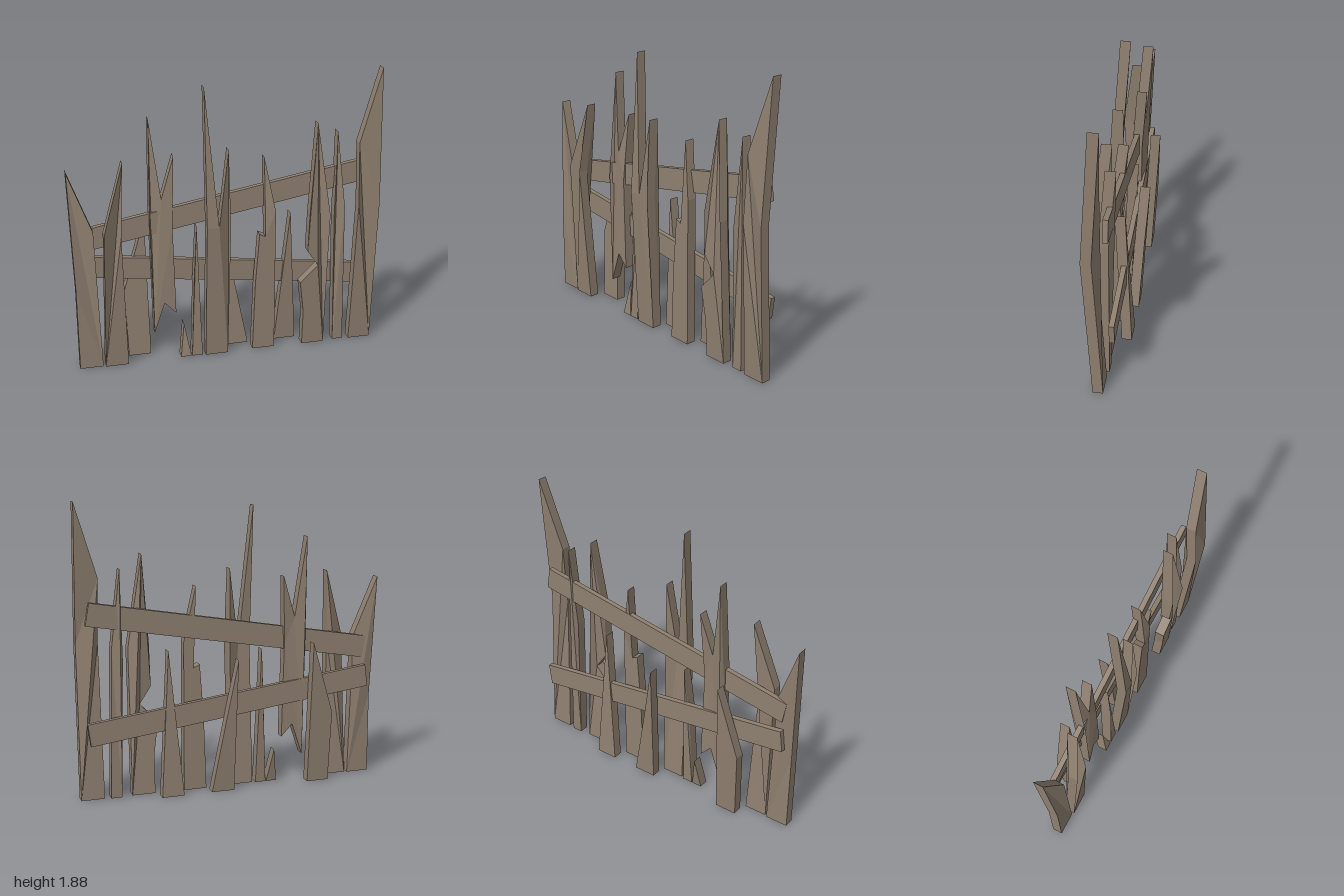
import * as THREE from 'three';

const THICK = 0.065;

// Back-face z of a board at its foot, knee and tip
const BOWED = [0.015, 0.07, 0.01];
const TILTED = [0.005, 0.005, -0.036];
const HUNG = [-0.035, -0.035, -0.087];
const REAR_BACK = [-0.09, -0.114, -0.138];
const REAR_FORWARD = [-0.09, -0.065, -0.04];

const wood = new THREE.MeshStandardMaterial({ color: 0x8f8070, flatShading: true });

// A board runs from its foot up the right knee, over the tips and down the left side.
// Its slab is bent at knee height, following the lean.
function board(name, lean, { foot, right, tips, left = [] }) {
  const outline = [...foot, ...right, ...tips, ...left].map(([x, y]) => new THREE.Vector2(x, y));
  const top = Math.max(...outline.map((v) => v.y));
  const knee = right.length ? right[0][1] : top / 2;
  const geo = new THREE.ExtrudeGeometry(new THREE.Shape(outline), { depth: THICK, bevelEnabled: false });
  const p = geo.attributes.position;
  for (let i = 0; i < p.count; i++) {
    const y = p.getY(i);
    const z = y < knee
      ? THREE.MathUtils.lerp(lean[0], lean[1], y / knee)
      : THREE.MathUtils.lerp(lean[1], lean[2], (y - knee) / (top - knee));
    p.setZ(i, p.getZ(i) + z);
  }
  geo.computeVertexNormals();
  const mesh = new THREE.Mesh(geo, wood);
  mesh.name = name;
  return mesh;
}

// A straight foot standing on the ground
const stand = (x, width = 0.15) => [[x, 0], [x + width, 0]];

// A plain spike: foot and one tip, with an optional knee on the left
const spike = (name, lean, x, width, tip, left) =>
  board(name, lean, { foot: stand(x, width), right: [], tips: [tip], left });

// A sloping cross rail that passes through height y at x = 0
function rail(name, x0, x1, y, slope, z) {
  const angle = Math.atan(slope);
  const mesh = new THREE.Mesh(new THREE.BoxGeometry((x1 - x0) / Math.cos(angle), 0.145, 0.034), wood);
  const mid = (x0 + x1) / 2;
  mesh.position.set(mid, y + slope * mid, z);
  mesh.rotation.z = angle;
  mesh.name = name;
  return mesh;
}

export function createModel() {
  const group = new THREE.Group();
  group.name = 'brokenFence';

  // Cross rails
  group.add(rail('upperRail', -0.92, 0.93, 1.034, 0.176, -0.003));
  group.add(rail('lowerRail', -0.93, 0.94, 0.562, -0.129, -0.034));

  // Narrow pointed pieces
  group.add(spike('stump', TILTED, -0.315, 0.07, [-0.285, 0.225]));
  group.add(spike('splinter', TILTED, -0.24, 0.07, [-0.195, 0.91], [[-0.22, 0.55]]));
  group.add(spike('pointedBoard', REAR_FORWARD, 0.345, 0.145, [0.427, 0.94]));

  // Boards behind the rails
  group.add(spike('rearBoardRight', REAR_BACK, -0.647, 0.147, [-0.515, 0.945], [[-0.66, 0.47]]));
  group.add(board('rearBoardMiddle', REAR_BACK, {
    foot: stand(0.01), right: [[0.065, 0.5]], tips: [[-0.005, 0.87]],
  }));

  // End boards
  group.add(board('endBoardRight', TILTED, {
    foot: stand(-0.98), right: [[-0.855, 0.95]], tips: [[-1, 1.34]], left: [[-0.98, 0.55]],
  }));
  group.add(board('endBoardLeft', BOWED, {
    foot: stand(0.84), right: [[0.99, 1]], tips: [[0.99, 1.88]], left: [[0.845, 1.41], [0.85, 1]],
  }));

  // Bowed boards in front of the rails
  group.add(board('slantedBoard', BOWED, {
    foot: stand(-0.815), right: [[-0.69, 0.93]], tips: [[-0.66, 1.39]], left: [[-0.795, 0.95]],
  }));
  group.add(board('forkedBoard', BOWED, {
    foot: stand(-0.15), right: [[0.005, 0.93]],
    tips: [[-0.003, 1.43], [-0.07, 0.93], [-0.15, 1.83]], left: [[-0.148, 0.93]],
  }));
  group.add(board('brokenBoard', BOWED, {
    foot: stand(0.51), right: [[0.66, 0.95]], tips: [[0.578, 1.55]],
    left: [[0.525, 0.98], [0.52, 0.7], [0.595, 0.59], [0.48, 0.47], [0.51, 0.25]],
  }));

  // Boards leaning back onto the rails
  group.add(board('notchedBoard', TILTED, {
    foot: stand(0.17), right: [[0.315, 0.98]], tips: [[0.245, 1.34]],
    left: [[0.25, 0.81], [0.21, 0.83], [0.185, 0.48]],
  }));
  group.add(board('narrowBoard', TILTED, {
    foot: stand(0.73, 0.07), right: [[0.778, 0.97]], tips: [[0.727, 1.47]], left: [[0.708, 0.9]],
  }));

  // Split board hanging clear of the ground
  group.add(board('hangingBoard', HUNG, {
    foot: [[-0.48, 0.18], [-0.41, 0.39], [-0.335, 0.31]], right: [[-0.35, 0.93]],
    tips: [[-0.33, 1.38], [-0.415, 1.11], [-0.48, 1.63]], left: [[-0.495, 0.93]],
  }));
  return group;
}
